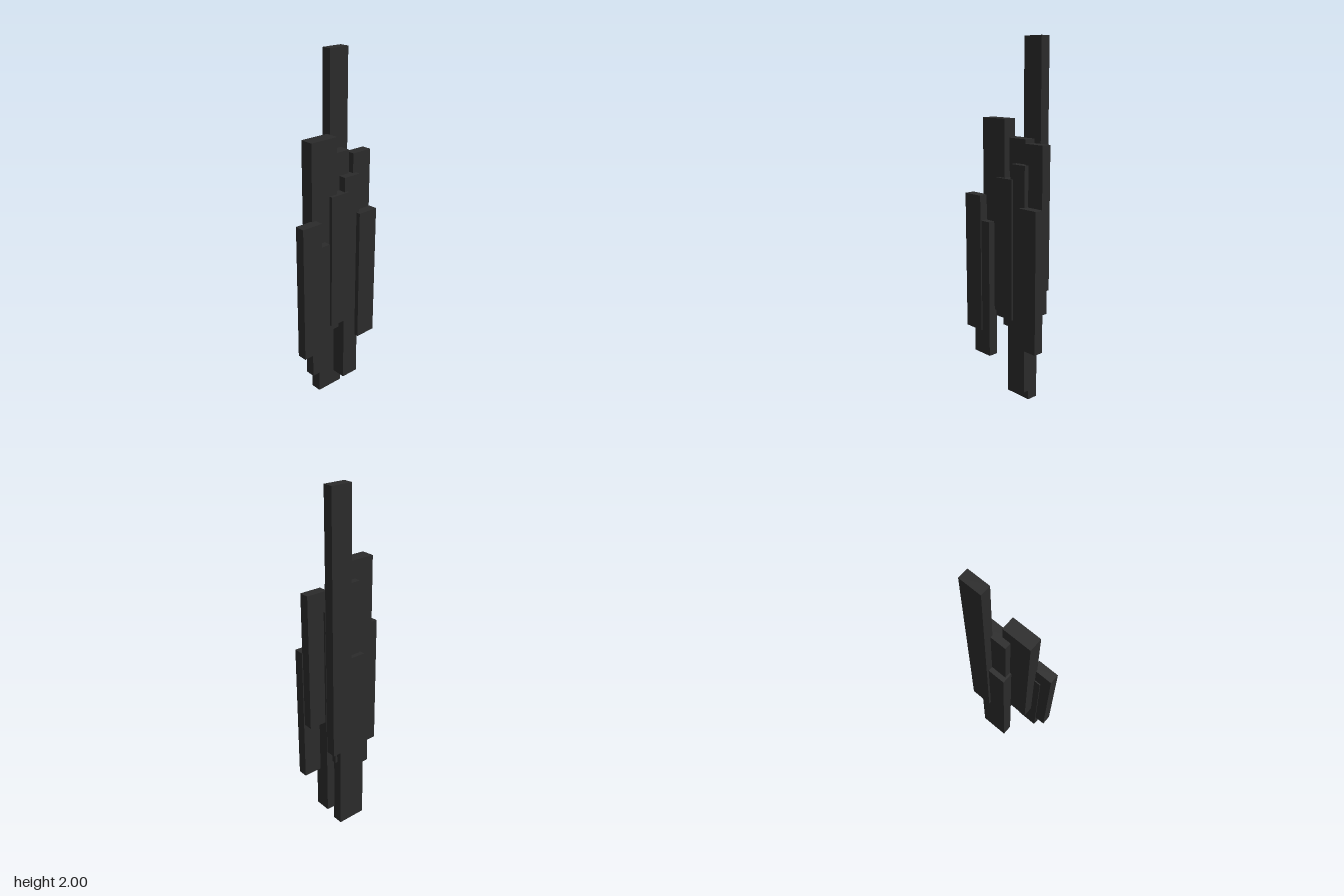
import * as THREE from 'three';

// Each slab: name, then [min, max] extents along x, y and z
const SLABS = [
  ['tallBackSlab', [0.045, 0.169], [0.51, 2.0], [-0.104, -0.047]],
  ['upperRightSlab', [-0.168, 0.003], [0.51, 1.58], [-0.023, 0.054]],
  ['coreSlab', [-0.048, 0.122], [0.42, 1.48], [-0.061, 0.017]],
  ['upperLeftSlab', [0.138, 0.262], [0.69, 1.46], [-0.022, 0.034]],
  ['outerLeftSlab', [0.143, 0.268], [0.35, 1.13], [0.03, 0.086]],
  ['longMiddleSlab', [0.055, 0.161], [0.09, 1.35], [-0.033, 0.06]],
  ['lowerBackSlab', [-0.059, 0.11], [0, 1.07], [-0.089, -0.025]],
  ['frontSlab', [-0.048, 0.075], [0.49, 1.27], [0.016, 0.072]],
  ['outerRightSlab', [-0.268, -0.143], [0.38, 1.16], [0.044, 0.101]],
  ['lowerRightSlab', [-0.206, -0.082], [0.24, 1.02], [0.038, 0.094]],
];

export function createModel() {
  const group = new THREE.Group();
  group.name = 'slabCluster';
  const charcoal = new THREE.MeshStandardMaterial({ color: 0x2b2b2b });
  charcoal.name = 'charcoal';

  // Staggered upright slabs
  for (const [name, ...extents] of SLABS) {
    const size = extents.map(([min, max]) => max - min);
    const centre = extents.map(([min, max]) => (min + max) / 2);
    const slab = new THREE.Mesh(new THREE.BoxGeometry(...size), charcoal);
    slab.name = name;
    slab.position.set(...centre);
    group.add(slab);
  }
  return group;
}
